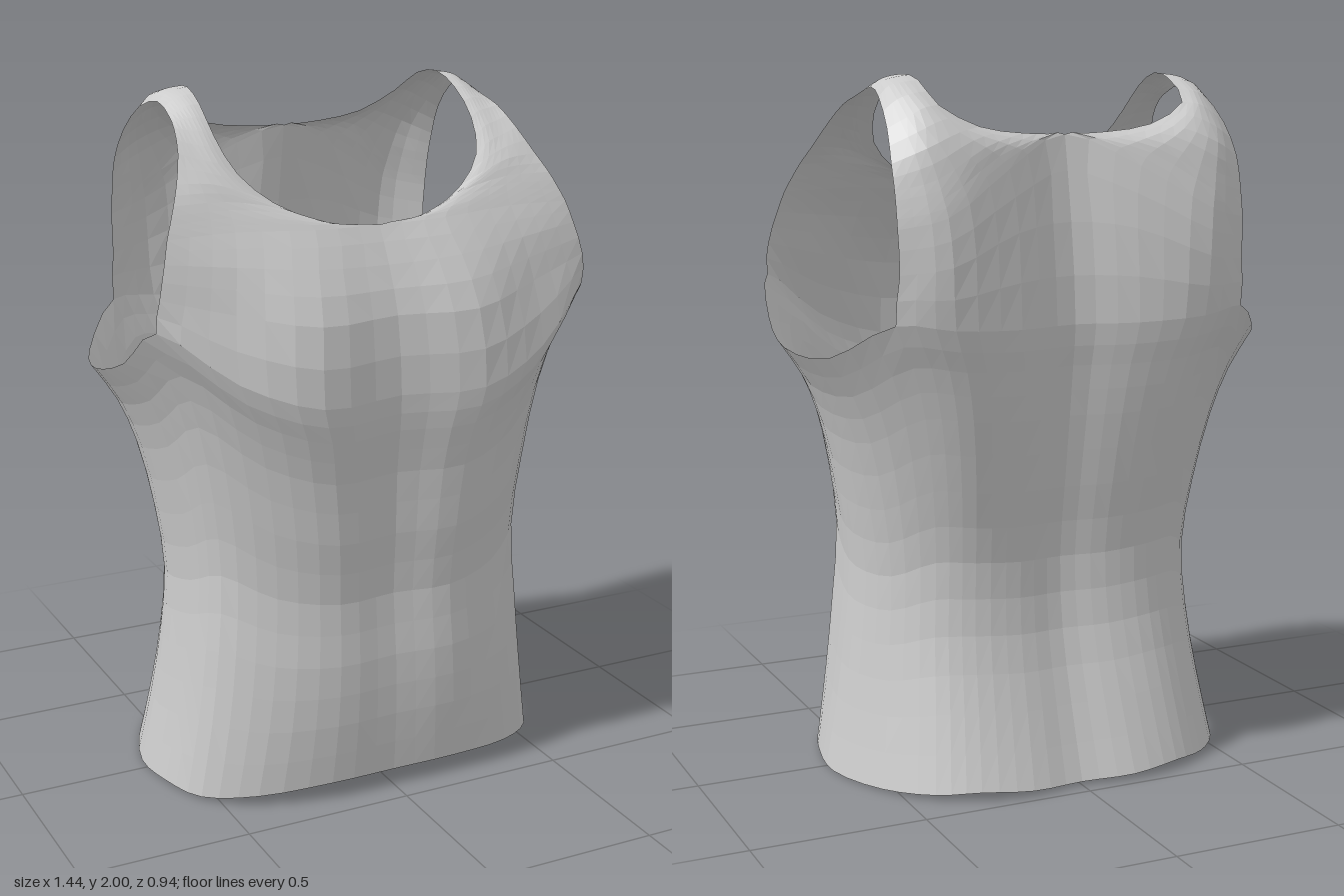
import * as THREE from 'three';

const ACROSS = 3; // facets between neighbouring control columns
const ALONG = 2;  // facets between neighbouring control rows
const V = (x, y, z) => new THREE.Vector3(x, y, z);
const mirrored = (p) => V(-p.x, p.y, p.z);

// Half outlines [x, z, y] from centre front round the side to centre back
const hem = [
  [0, 0.42, 0.05], [0.2, 0.42, 0.05], [0.41, 0.365, 0.03], [0.545, 0.26, 0.01], [0.597, 0.11, 0.005], [0.61, -0.05, 0],
  [0.535, -0.255, 0.005], [0.425, -0.385, 0.015], [0.31, -0.445, 0.025], [0.16, -0.47, 0.015], [0, -0.45, 0.01],
];
const chest = [
  [0, 0.442, 1.2], [0.25, 0.475, 1.2], [0.47, 0.415, 1.28], [0.663, 0.308, 1.42], [0.705, 0.17, 1.31], [0.72, -0.02, 1.25],
  [0.665, -0.23, 1.245], [0.53, -0.387, 1.345], [0.38, -0.445, 1.33], [0.18, -0.43, 1.32], [0, -0.39, 1.32],
];

// Torso levels: [height fraction, half width, front depth, back depth]
const levels = [
  [0, 0.61, 0.42, 0.47], [0.16, 0.57, 0.435, 0.4], [0.32, 0.54, 0.435, 0.34], [0.48, 0.522, 0.42, 0.325],
  [0.64, 0.545, 0.435, 0.36], [0.8, 0.59, 0.445, 0.4], [0.91, 0.645, 0.465, 0.425], [1, 0.72, 0.475, 0.445],
];

// Panel rows: neck edge, two inner points, armhole edge
const frontPanel = [
  [0, 1.42, 0.415, 0.24, 1.42, 0.445, 0.46, 1.46, 0.37, 0.655, 1.51, 0.318],
  [0, 1.55, 0.36, 0.22, 1.56, 0.375, 0.44, 1.58, 0.335, 0.632, 1.6, 0.3],
  [0, 1.65, 0.303, 0.2, 1.655, 0.313, 0.425, 1.665, 0.29, 0.615, 1.66, 0.28],
  [0.08, 1.652, 0.303, 0.23, 1.68, 0.295, 0.425, 1.7, 0.27, 0.6, 1.695, 0.265],
  [0.18, 1.675, 0.283, 0.29, 1.715, 0.262, 0.435, 1.74, 0.245, 0.58, 1.74, 0.242],
  [0.29, 1.725, 0.24, 0.37, 1.758, 0.232, 0.46, 1.785, 0.217, 0.555, 1.79, 0.205],
  [0.37, 1.8, 0.185, 0.42, 1.83, 0.172, 0.475, 1.845, 0.158, 0.525, 1.86, 0.145],
  [0.4, 1.89, 0.1, 0.43, 1.905, 0.09, 0.47, 1.91, 0.08, 0.505, 1.915, 0.07],
  [0.4, 1.965, 0, 0.43, 1.965, 0, 0.46, 1.955, 0, 0.492, 1.94, 0],
  [0.395, 2, -0.1, 0.43, 1.995, -0.1, 0.46, 1.985, -0.1, 0.485, 1.965, -0.1],
];
const backPanel = [
  [0.385, 1.985, -0.2, 0.43, 1.98, -0.21, 0.47, 1.97, -0.2, 0.5, 1.94, -0.2],
  [0.37, 1.92, -0.31, 0.415, 1.915, -0.325, 0.465, 1.89, -0.32, 0.515, 1.86, -0.3],
  [0.26, 1.862, -0.33, 0.34, 1.85, -0.38, 0.44, 1.81, -0.395, 0.525, 1.77, -0.355],
  [0.13, 1.843, -0.325, 0.27, 1.81, -0.393, 0.42, 1.73, -0.422, 0.525, 1.7, -0.377],
  [0.05, 1.839, -0.319, 0.23, 1.785, -0.39, 0.41, 1.68, -0.435, 0.525, 1.65, -0.387],
  [0, 1.837, -0.317, 0.2, 1.75, -0.39, 0.4, 1.63, -0.445, 0.525, 1.6, -0.395],
  [0, 1.6, -0.36, 0.18, 1.58, -0.41, 0.39, 1.5, -0.455, 0.522, 1.48, -0.4],
];

// Smooth run through points; "before" and "after" only steer the ends
function smooth(points, steps, before, after) {
  const all = [...(before ? [before] : []), ...points, ...(after ? [after] : [])];
  const curve = new THREE.CatmullRomCurve3(all);
  const start = before ? 1 : 0;
  const count = (points.length - 1) * steps;
  return Array.from({ length: count + 1 }, (_, i) => curve.getPoint((start + i / steps) / (all.length - 1)));
}

// Half ring of the torso at one level, blended between hem and chest outlines
function torsoRow([v, width, front, back]) {
  const pts = hem.map((h, i) => {
    const c = chest[i];
    const mix = (a, b) => a + (b - a) * v;
    const x = width * mix(h[0] / 0.61, c[0] / 0.72);
    const z = h[1] > 0 ? front * mix(h[1] / 0.42, c[1] / 0.475) : back * mix(h[1] / 0.47, c[1] / 0.445);
    return V(x, mix(h[2], c[2]), z);
  });
  // the side point lies behind the middle, so it keeps its own depth
  return smooth(pts, ACROSS, mirrored(pts[1]), mirrored(pts[pts.length - 2]));
}

function panelRow(n) {
  const pts = [0, 3, 6, 9].map((k) => V(n[k], n[k + 1], n[k + 2]));
  return smooth(pts, ACROSS, pts[0].x === 0 ? mirrored(pts[1]) : null);
}

// Surface through columns of points, kept on its own side of the middle
function sheet(columns, side) {
  const rows = columns[0].length;
  const pos = columns.flat().flatMap((p) => [Math.max(0, p.x) * side, p.y, p.z]);
  const index = [];
  for (let i = 0; i < columns.length - 1; i++) {
    for (let j = 0; j < rows - 1; j++) {
      const a = i * rows + j, b = a + rows, c = b + 1, d = a + 1;
      if (side > 0) index.push(a, b, c, a, c, d);
      else index.push(a, c, b, a, d, c);
    }
  }
  const g = new THREE.BufferGeometry();
  g.setAttribute('position', new THREE.Float32BufferAttribute(pos, 3));
  g.setIndex(index);
  g.computeVertexNormals();
  return g;
}

export function createModel() {
  const group = new THREE.Group();
  group.name = 'sleevelessTop';
  const cloth = new THREE.MeshStandardMaterial({ color: 0xcccccc, flatShading: true, side: THREE.DoubleSide });

  const torso = levels.map(torsoRow);
  const panels = [...frontPanel, ...backPanel].map(panelRow);
  const edge = 3 * ACROSS;             // column at the front of the armhole
  const last = torso[0].length - 1;    // centre back column

  // Columns run from the front hem over the shoulder to the back hem
  const strip = [];
  for (let i = 0; i <= edge; i++) {
    strip.push(smooth([
      ...torso.map((r) => r[i]),
      ...panels.map((r) => r[i]),
      ...torso.map((r) => r[last - i]).reverse(),
    ], ALONG));
  }

  // Side columns below the armhole share their border columns with the strip
  const height = (levels.length - 1) * ALONG + 1;
  const flank = [strip[edge].slice(0, height)];
  for (let i = edge + 1; i < last - edge; i++) flank.push(smooth(torso.map((r) => r[i]), ALONG));
  flank.push(strip[edge].slice(-height).reverse());

  for (const [label, side] of [['left', 1], ['right', -1]]) {
    for (const [part, columns] of [['FrontBackAndStrap', strip], ['SidePanel', flank]]) {
      const mesh = new THREE.Mesh(sheet(columns, side), cloth);
      mesh.name = label + part;
      group.add(mesh);
    }
  }
  return group;
}
